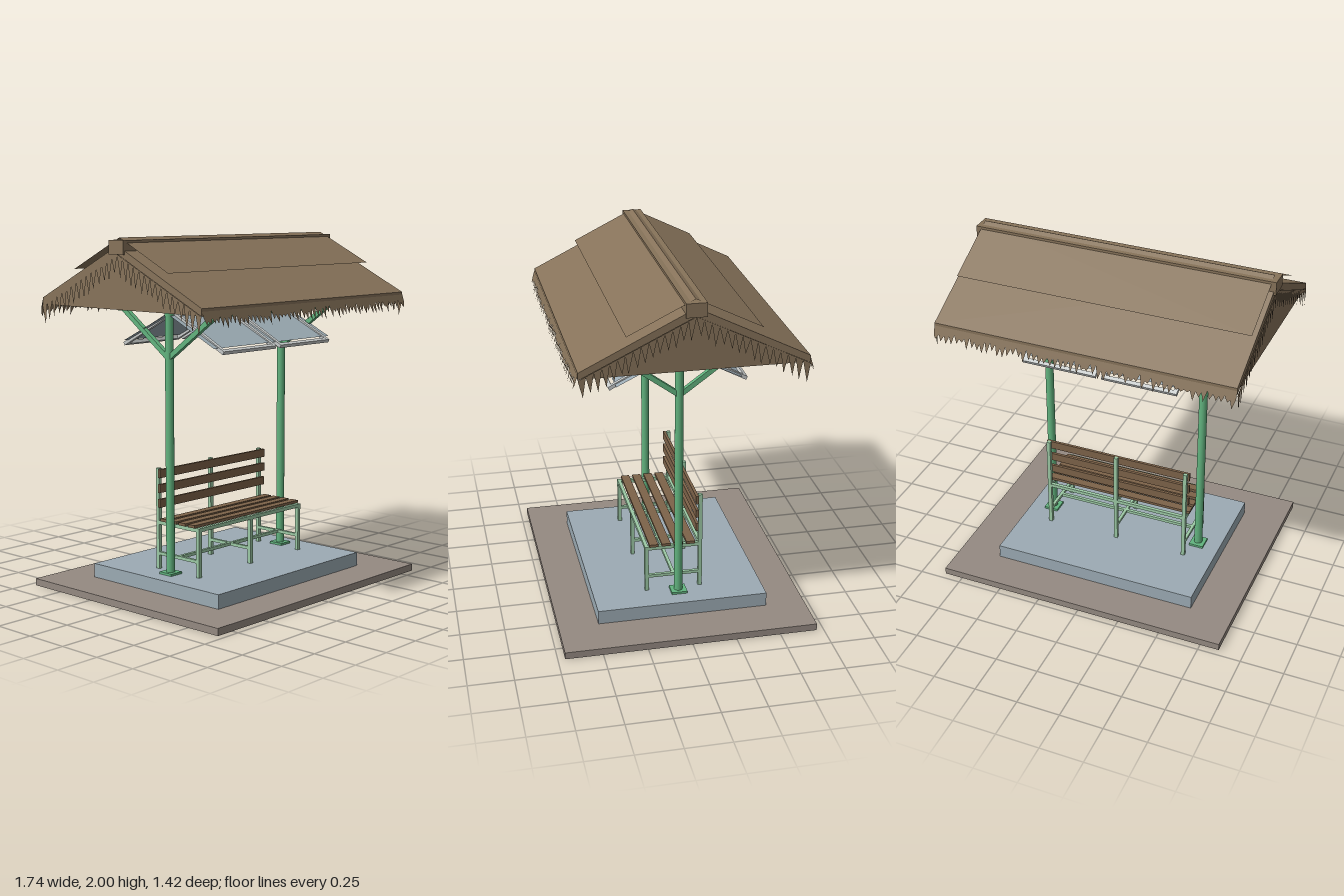
import * as THREE from 'three';

const mat = (name, color, side = THREE.FrontSide) => {
  const m = new THREE.MeshStandardMaterial({ color, side });
  m.name = name;
  return m;
};

export function createModel() {
  const root = new THREE.Group();
  root.name = 'shelteredBench';

  const thatch = mat('thatchBrown', 0x87735a, THREE.DoubleSide);
  const wood = mat('slatBrown', 0x7d6349);
  const green = mat('postGreen', 0x62b47f);
  const paleGreen = mat('benchGreen', 0x9ccaa5);
  const slate = mat('slateGrey', 0x9cabb4, THREE.DoubleSide);
  const earth = mat('groundGrey', 0x958a82);
  const steel = mat('frameGrey', 0xc6caca);

  let seed = 7;
  const rand = () => (seed = (seed * 16807) % 2147483647) / 2147483647;

  const group = (name) => {
    const g = new THREE.Group();
    g.name = name;
    root.add(g);
    return g;
  };
  const add = (parent, name, geometry, material, x = 0, y = 0, z = 0) => {
    const m = new THREE.Mesh(geometry, material);
    m.name = name;
    m.position.set(x, y, z);
    parent.add(m);
    return m;
  };
  // Box given by its centre in x and z and by its lower and upper y
  const box = (parent, name, material, w, d, y0, y1, x = 0, z = 0) =>
    add(parent, name, new THREE.BoxGeometry(w, y1 - y0, d), material, x, (y0 + y1) / 2, z);
  // Square bar between two points in a plane of constant x
  const bar = (parent, name, material, x, [z0, y0], [z1, y1], w, t) => {
    const m = add(parent, name, new THREE.BoxGeometry(w, t, Math.hypot(z1 - z0, y1 - y0)),
      material, x, (y0 + y1) / 2, (z0 + z1) / 2);
    m.rotation.x = -Math.atan2(y1 - y0, z1 - z0);
    return m;
  };
  // Thin sloping sheet, spanning x from -hx to hx
  const sheet = (parent, name, material, hx, [z0, y0], [z1, y1]) => {
    const g = new THREE.PlaneGeometry(2 * hx, 1);
    const p = g.attributes.position;
    for (let i = 0; i < p.count; i++) {
      const t = p.getY(i) > 0 ? 0 : 1;
      p.setXYZ(i, p.getX(i), y0 + (y1 - y0) * t, z0 + (z1 - z0) * t);
    }
    g.computeVertexNormals();
    return add(parent, name, g, material);
  };

  // Ground and slab
  box(root, 'ground', earth, 1.72, 1.42, 0, 0.04);
  box(root, 'slab', slate, 1.22, 0.97, 0.04, 0.12);

  // Posts with base plates, struts and purlins
  const frame = group('postFrame');
  for (const x of [-0.476, 0.476]) {
    box(frame, 'basePlate', green, 0.085, 0.09, 0.12, 0.133, x);
    add(frame, 'post', new THREE.CylinderGeometry(0.024, 0.024, 1.5, 16), green, x, 0.87, 0);
    for (const s of [-1, 1])
      bar(frame, 'strut', green, x, [0, 1.335], [s * 0.37, 1.605], 0.028, 0.028);
  }
  for (const s of [-1, 1]) box(frame, 'purlin', green, 1.0, 0.038, 1.58, 1.619, 0, s * 0.37);

  // Bench frame
  const bench = group('bench');
  for (const x of [-0.43, 0, 0.43]) {
    box(bench, 'frontLeg', paleGreen, 0.022, 0.022, 0.12, 0.4, x, 0.175);
    box(bench, 'backLeg', paleGreen, 0.022, 0.022, 0.12, 0.7, x, -0.135);
    box(bench, 'seatRail', paleGreen, 0.022, 0.31, 0.378, 0.4, x, 0.02);
    box(bench, 'sideStretcher', paleGreen, 0.018, 0.31, 0.2, 0.218, x, 0.02);
  }
  box(bench, 'longStretcher', paleGreen, 0.86, 0.018, 0.2, 0.218, 0, 0.02);
  for (const z of [0.175, -0.135]) box(bench, 'longSeatRail', paleGreen, 0.86, 0.02, 0.379, 0.4, 0, z);

  // Bench slats
  for (const z of [0.135, 0.064, -0.007, -0.078])
    box(bench, 'seatSlat', wood, 0.9, 0.05, 0.4, 0.416, 0, z);
  for (const y of [0.477, 0.562, 0.647])
    box(bench, 'backSlat', wood, 0.9, 0.016, y, y + 0.048, 0, -0.114);

  // Sloping panels under the roof
  const panels = group('panels');
  for (const s of [-1, 1]) {
    sheet(panels, 'panelSheet', slate, 0.49, [0.01 * s, 1.575], [0.345 * s, 1.412]);
    for (const cx of [-0.237, 0.233]) {
      for (const dx of [-0.207, 0.207])
        bar(panels, 'panelSide', steel, cx + dx, [0.015 * s, 1.58], [0.38 * s, 1.388], 0.022, 0.02);
      for (const [z, y] of [[0.022, 1.576], [0.37, 1.393]])
        bar(panels, 'panelRail', steel, cx, [(z - 0.01) * s, y + 0.005], [(z + 0.01) * s, y - 0.005], 0.436, 0.02);
    }
  }

  // Roof body
  const roof = group('roof');
  const prism = (name, points, length) => {
    const shape = new THREE.Shape(points.map(([z, y]) => new THREE.Vector2(z, y)));
    const g = new THREE.ExtrudeGeometry(shape, { depth: length, bevelEnabled: false });
    g.translate(0, 0, -length / 2);
    g.rotateY(Math.PI / 2);
    add(roof, name, g, thatch);
  };
  prism('gableBody', [[-0.598, 1.622], [0.598, 1.622], [0, 1.915]], 1.7);
  prism('roofSlopes', [[-0.602, 1.62], [0, 1.913], [0.602, 1.62], [0.602, 1.66], [0, 1.958], [-0.602, 1.66]], 1.716);
  box(roof, 'ridgeCap', thatch, 1.74, 0.11, 1.912, 1.987);
  for (const s of [-1, 1])
    sheet(roof, 'upperThatch', thatch, 0.843, [0, 2.0], [0.354 * s, 1.825]);

  // Ragged fringe: a strip with straight top and pointed lower edge
  const fringe = (n, u0, u1, top, valley, tip) => {
    const s = new THREE.Shape();
    const step = (u1 - u0) / n;
    s.moveTo(u0, top(u0));
    for (let i = 0; i < n; i++) {
      const u = u0 + i * step, m = u + step * (0.35 + 0.3 * rand());
      s.lineTo(u, top(u) - valley());
      s.lineTo(m, top(m) - tip());
    }
    s.lineTo(u1, top(u1) - valley());
    s.lineTo(u1, top(u1));
    if (u0 < 0 && u1 > 0) s.lineTo(0, top(0));
    return new THREE.ShapeGeometry(s);
  };
  for (const s of [-1, 1]) {
    // Eave fringe, leaning outwards
    const g = fringe(56, -0.858, 0.858, () => 0, () => 0.025 + 0.03 * rand(), () => 0.06 + 0.04 * rand());
    const eave = add(roof, 'eaveFringe', g, thatch, 0, 1.645, 0.604 * s);
    eave.rotation.order = 'YXZ';
    eave.rotation.set(-0.3, s > 0 ? 0 : Math.PI, 0);
    // Gable fringe, following the two slopes
    const h = fringe(30, -0.602, 0.602, (u) => 1.913 - 0.487 * Math.abs(u),
      () => 0.006, () => 0.09 + 0.03 * rand());
    add(roof, 'gableFringe', h, thatch, 0.861 * s).rotation.y = (s * Math.PI) / 2;
  }
  return root;
}
